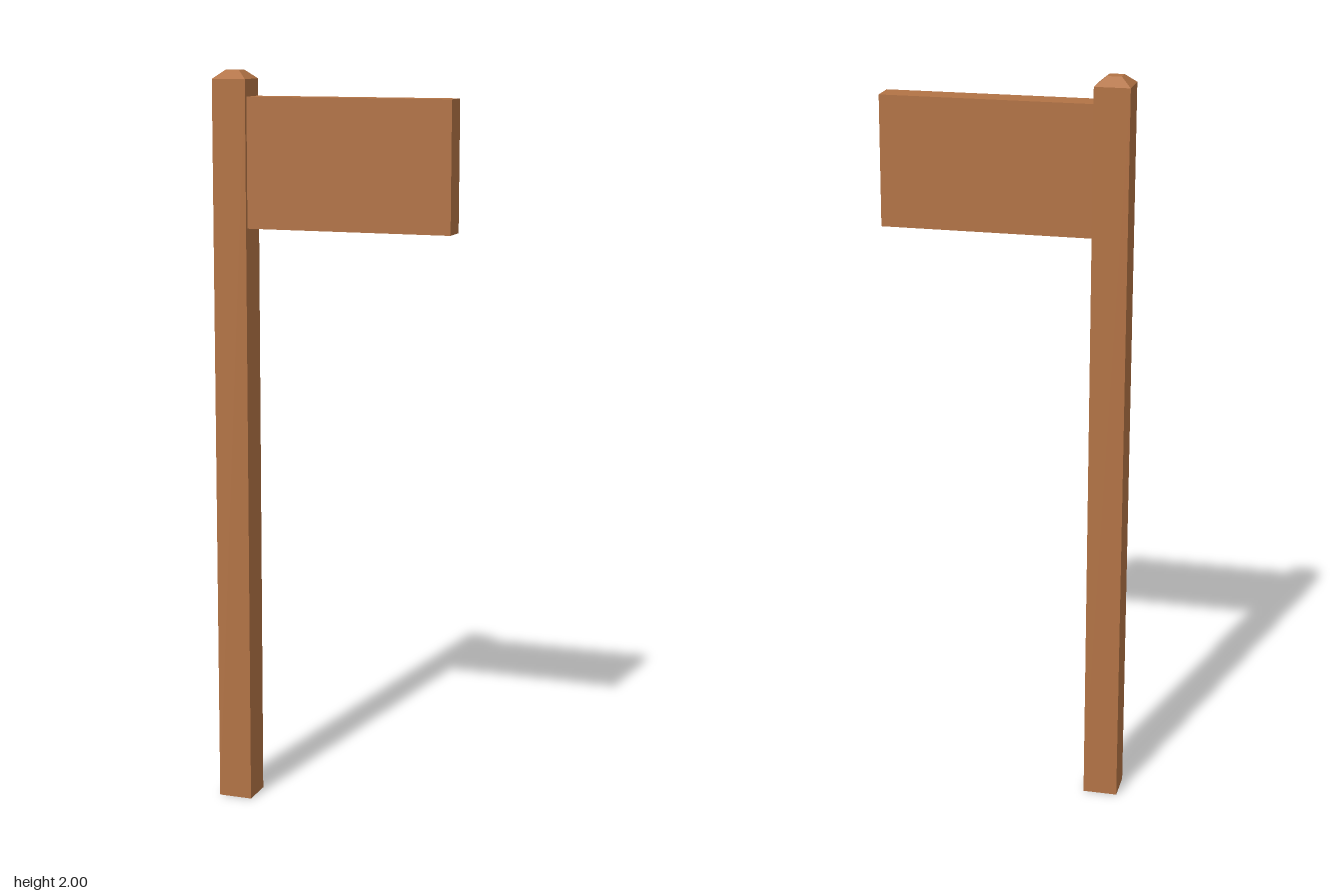
import * as THREE from 'three';

export function createModel() {
  const wood = new THREE.MeshStandardMaterial({ color: 0xb27345, flatShading: true });
  wood.name = 'wood';

  const sign = new THREE.Group();
  sign.name = 'signpost';
  // The whole sign is turned very slightly around the post
  sign.position.set(-0.28, 0, -0.001);
  sign.rotation.y = -0.0145;

  const add = (name, geometry, x, y, z) => {
    const mesh = new THREE.Mesh(geometry, wood);
    mesh.name = name;
    mesh.position.set(x, y, z);
    sign.add(mesh);
  };

  const postWidth = 0.093, postHeight = 1.977, capTop = 0.038;

  // Square post
  add('post', new THREE.BoxGeometry(postWidth, postHeight, postWidth), 0, postHeight / 2, 0);

  // Chamfered cap: a four-sided frustum
  const capHeight = 2 - postHeight;
  const cap = new THREE.CylinderGeometry(capTop * Math.SQRT1_2, postWidth * Math.SQRT1_2, capHeight, 4);
  cap.rotateY(Math.PI / 4);
  add('postCap', cap, 0, postHeight + capHeight / 2, 0);

  // Blank board fixed to the side of the post
  const boardStart = postWidth / 2, boardEnd = 0.605;
  add('board', new THREE.BoxGeometry(boardEnd - boardStart, 0.344, 0.073),
    (boardStart + boardEnd) / 2, 1.76, 0);

  const model = new THREE.Group();
  model.name = 'model';
  model.add(sign);
  return model;
}
